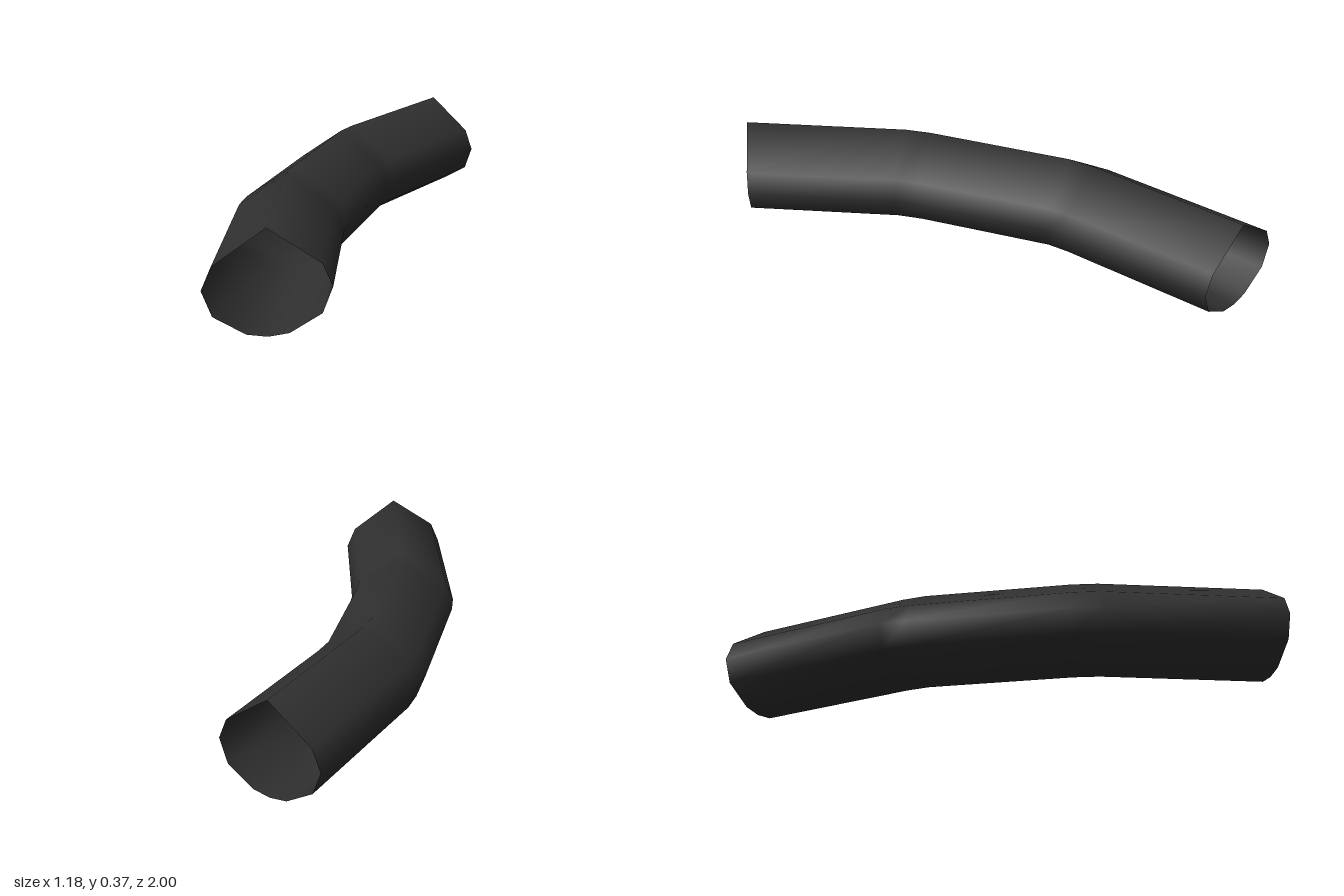
import * as THREE from 'three';

export function createModel() {
  const group = new THREE.Group();
  group.name = 'bentPipe';
  const charcoal = new THREE.MeshStandardMaterial({ color: 0x303030, side: THREE.DoubleSide });
  charcoal.name = 'charcoal';

  // Cross-section: [sideways offset, height], peaked top and rounded bottom
  const half = [[0, 0.37], [0.178, 0.245], [0.212, 0.165], [0.178, 0.075], [0.07, 0.01], [0, 0]];
  const section = [...half, ...half.slice(1, -1).reverse().map(([s, y]) => [-s, y])];

  // Left and right edge of each ring in plan: [x, z, x, z]
  const rings = [
    [-0.595, 1, -0.17, 1],
    [-0.49, 0.31, -0.08, 0.415],
    [-0.46, 0.21, -0.05, 0.32],
    [-0.21, -0.37, 0.15, -0.16],
    [-0.16, -0.455, 0.2, -0.23],
    [0.29, -1, 0.59, -0.7],
  ];

  // Sweep the section through the rings, leaving both ends open
  const positions = [], index = [], n = section.length;
  rings.forEach(([lx, lz, rx, rz], i) => {
    section.forEach(([s, y], j) => {
      const t = 0.5 + s / 0.424;
      positions.push(lx + (rx - lx) * t, y, lz + (rz - lz) * t);
      if (i === rings.length - 1) return;
      const a = i * n + j, b = i * n + (j + 1) % n;
      index.push(a, b, a + n, b, b + n, a + n);
    });
  });
  const geometry = new THREE.BufferGeometry();
  geometry.setAttribute('position', new THREE.Float32BufferAttribute(positions, 3));
  geometry.setIndex(index);
  geometry.computeVertexNormals();

  const pipe = new THREE.Mesh(geometry, charcoal);
  pipe.name = 'pipeWall';
  group.add(pipe);
  return group;
}
